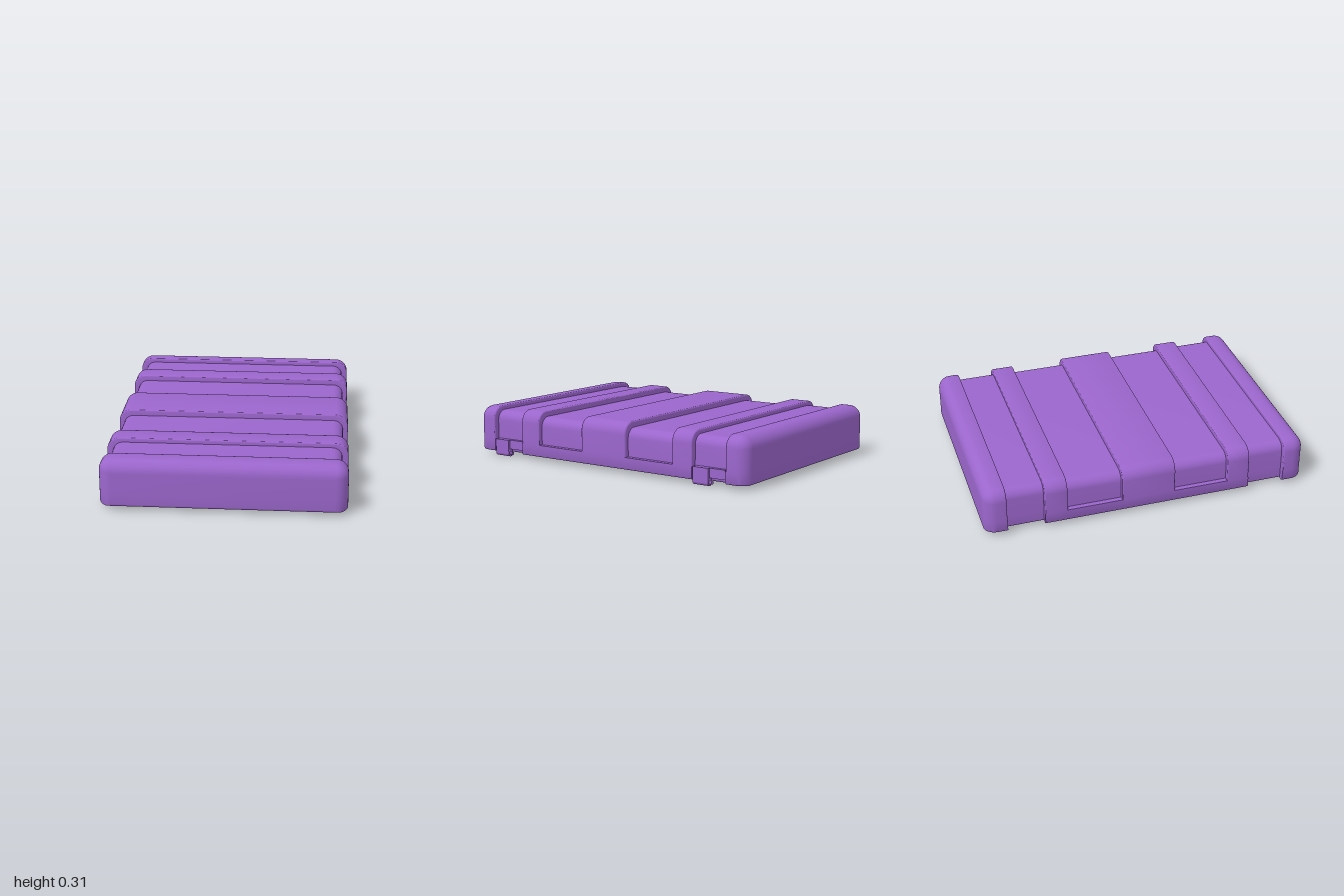
import * as THREE from 'three';
import { toCreasedNormals } from 'three/addons/utils/BufferGeometryUtils.js';

const BASE = 0.025;   // height of the open rim
const LEDGE = 0.1;    // foot of the side slots
const SEG = 8;

// Arch-shaped cross-section, from the right foot over the top to the left foot
function section({ z, w, foot, top, r }, zMax, bevel) {
  const half = [];
  for (let i = 0; i <= 4; i++) {
    const a = (i / 4) * Math.PI / 2;
    const inset = bevel * (1 - Math.sin(a));
    const zc = Math.sign(z) * Math.min(Math.abs(z), zMax - inset);
    half.push([foot - inset, BASE + bevel * (1 - Math.cos(a)), zc]);
  }
  half.push([foot, LEDGE, z], [w, LEDGE, z]);
  for (let i = 0; i <= SEG; i++) {
    const a = (i / SEG) * Math.PI / 2;
    half.push([w - r + r * Math.cos(a), top - r + r * Math.sin(a), z]);
  }
  return half.concat(half.slice().reverse().map(([x, y, zz]) => [-x, y, zz]));
}

// Skin the sections along z and close both ends; inward flips the surface
function loft(stations, zMax, bevel, inward) {
  const rings = stations.map((s) => section(s, zMax, bevel));
  const pos = [];
  const tri = (a, b, c) => {
    const [A, B, C] = [a, b, c].map((p) => new THREE.Vector3(...p));
    if (B.sub(A).cross(C.sub(A)).length() < 1e-9) return;
    pos.push(...a, ...(inward ? c : b), ...(inward ? b : c));
  };
  const quad = (a, b, c, d) => { tri(a, b, c); tri(a, c, d); };
  const n = rings[0].length;
  for (let s = 0; s < rings.length - 1; s++)
    for (let i = 0; i < n - 1; i++)
      quad(rings[s][i], rings[s][i + 1], rings[s + 1][i + 1], rings[s + 1][i]);
  const front = rings[rings.length - 1], back = rings[0];
  for (let i = 0; i < n / 2 - 1; i++) {
    quad(front[i], front[i + 1], front[n - 2 - i], front[n - 1 - i]);
    quad(back[n - 1 - i], back[n - 2 - i], back[i + 1], back[i]);
  }
  const geo = new THREE.BufferGeometry();
  geo.setAttribute('position', new THREE.Float32BufferAttribute(pos, 3));
  // Outline of the feet, used for the rim
  const outline = rings.map((r) => new THREE.Vector2(r[0][0], r[0][2]));
  outline.push(...outline.slice().reverse().map((p) => new THREE.Vector2(-p.x, p.y)));
  return { geo: toCreasedNormals(geo, 0.6), outline };
}

const inset = (p, d, foot = d) =>
  ({ w: p.w - d, foot: p.foot - foot, top: p.top - d, r: Math.max(p.r - d, 0.001) });

// Stations of a rounded end, from the straight part out to the flat face
function roundedEnd(p, zEnd, R) {
  const out = [];
  for (let i = 0; i <= SEG; i++) {
    const a = (i / SEG) * Math.PI / 2;
    out.push({ z: zEnd - R + R * Math.sin(a), ...inset(p, R * (1 - Math.cos(a))) });
  }
  return out;
}

// Softened edge of a rib; dir is the way its side faces
function ribEdge(p, z, dir) {
  const e = 0.008, out = [];
  for (let i = 0; i <= 3; i++) {
    const a = (i / 3) * Math.PI / 2;
    out.push({ z: z - dir * e * (1 - Math.sin(a)), ...inset(p, e * (1 - Math.cos(a)), 0) });
  }
  return dir > 0 ? out : out.reverse();
}

const mirrorZ = (half) =>
  half.slice().reverse().map((s) => ({ ...s, z: -s.z })).concat(half);

export function createModel() {
  const group = new THREE.Group();
  const mat = new THREE.MeshStandardMaterial({ color: 0x9b66cc });
  const add = (name, geo, parent = group) => {
    const mesh = new THREE.Mesh(geo, mat);
    mesh.name = name;
    parent.add(mesh);
    return mesh;
  };

  // Outer shell: centre rib, slotted recess, rib, deep recess, end cap
  const rib = { w: 0.716, foot: 0.716, top: 0.306, r: 0.075 };
  const slot = { w: 0.685, foot: 0.716, top: 0.27, r: 0.06 };
  const recess = { w: 0.68, foot: 0.68, top: 0.28, r: 0.06 };
  const outer = loft(mirrorZ([
    ...ribEdge(rib, 0.165, 1),
    { z: 0.165, ...slot }, { z: 0.5, ...slot },
    ...ribEdge(rib, 0.5, -1), ...ribEdge(rib, 0.638, 1),
    { z: 0.638, ...recess }, { z: 0.864, ...recess },
    ...ribEdge(rib, 0.864, -1), ...roundedEnd(rib, 1, 0.075),
  ]), 1, 0.015, false);

  // Hollow inside
  const hollow = { w: 0.655, foot: 0.655, top: 0.255, r: 0.055 };
  const inner = loft(mirrorZ(roundedEnd(hollow, 0.945, 0.055)), 0.945, 0, true);

  // Flat rim joining the two skins
  const rimShape = new THREE.Shape(outer.outline);
  rimShape.holes.push(new THREE.Path(inner.outline));
  const rimGeo = new THREE.ShapeGeometry(rimShape);
  rimGeo.rotateX(Math.PI / 2).translate(0, BASE, 0);

  const lid = new THREE.Group();
  lid.name = 'lid';
  lid.position.x = -0.002;
  group.add(lid);
  add('outerShell', outer.geo, lid);
  add('innerShell', inner.geo, lid);
  add('rim', rimGeo, lid);

  // Hinge halves in the deep recesses of one side
  for (const z of [0.75, -0.75]) {
    const hinge = new THREE.Group();
    hinge.name = 'hinge';
    hinge.position.z = z;
    add('hingePlate', new THREE.BoxGeometry(0.026, 0.057, 0.21), hinge).position.set(0.689, 0.0765, 0);
    add('hingeLeaf', new THREE.BoxGeometry(0.036, 0.085, 0.105), hinge).position.set(0.698, 0.0625, 0.0525);
    const knuckle = add('hingeKnuckle', new THREE.CylinderGeometry(0.02, 0.02, 0.105, 20), hinge);
    knuckle.rotation.x = Math.PI / 2;
    knuckle.position.set(0.696, 0.02, 0.0525);
    const pin = add('hingePin', new THREE.CylinderGeometry(0.01, 0.01, 0.03, 14), hinge);
    pin.rotation.x = Math.PI / 2;
    pin.position.set(0.696, 0.02, -0.003);
    group.add(hinge);
  }
  return group;
}
